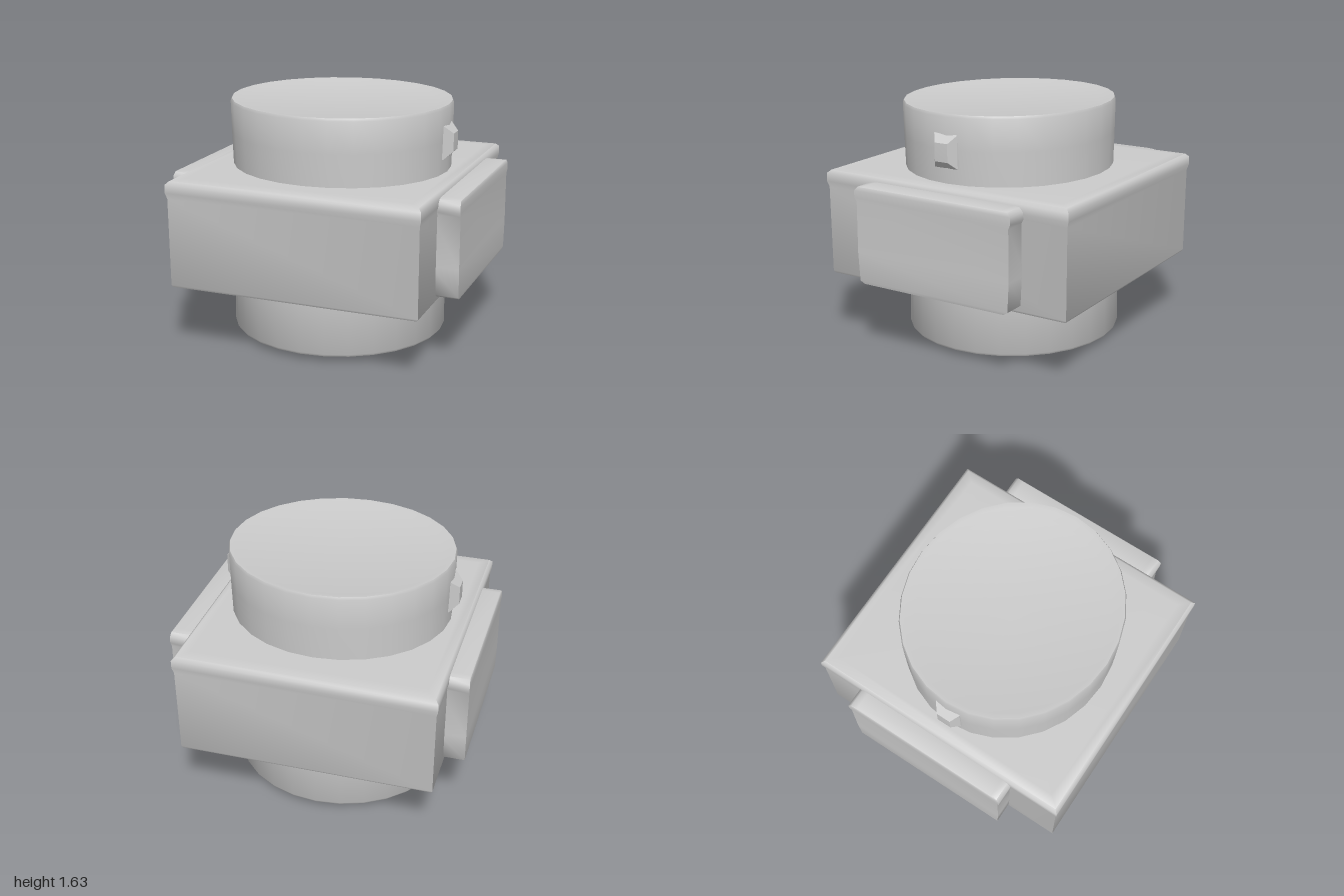
import * as THREE from 'three';
import { toCreasedNormals } from 'three/addons/utils/BufferGeometryUtils.js';

const material = new THREE.MeshStandardMaterial({ color: 0xcccccc });

// Turn a profile of [radius, height] pairs into a solid with the given number of sides
function turned(name, profile, sides, [sx, sz], [x, z], crease = 1) {
  const k = sides === 4 ? Math.SQRT2 : 1; // square sections: radius means half width
  const points = profile.map(([r, y]) => new THREE.Vector2(r * k, y));
  const geometry = new THREE.LatheGeometry(points, sides, sides === 4 ? Math.PI / 4 : 0);
  geometry.scale(sx, 1, sz);
  geometry.translate(x, 0, z);
  const mesh = new THREE.Mesh(toCreasedNormals(geometry, crease), material);
  mesh.name = name;
  return mesh;
}

export function createModel() {
  const group = new THREE.Group();
  group.name = 'squareHousingWithDrum';

  // Square housing with a faint lip round its softened top edge
  group.add(turned('housing', [
    [0, 0.46], [0.975, 0.46], [0.985, 0.475], [0.988, 1.06],
    [1, 1.1], [1, 1.155], [0.975, 1.176], [0.9, 1.18], [0, 1.177],
  ], 4, [0.858, 0.918], [-0.005, -0.003]));

  // Lower drum with a crisp rim and a shallow domed underside
  group.add(turned('lowerDrum', [
    [0, 0.004], [0.45, 0.012], [0.85, 0.032], [0.985, 0.043], [1, 0.06], [0.992, 0.5],
  ], 28, [0.735, 0.722], [-0.022, 0], 0.7));

  // Upper drum with a slightly dished top, leaning a touch forward
  const upperDrum = turned('upperDrum', [
    [0.985, 1.14], [0.995, 1.4], [1, 1.61], [0.99, 1.628], [0.95, 1.626], [0.87, 1.614], [0, 1.61],
  ], 28, [0.752, 0.696], [0, 0.006], 0.7);
  upperDrum.rotation.x = 0.008;
  group.add(upperDrum);

  for (const side of [1, -1]) {
    const label = side > 0 ? 'left' : 'right';

    // Raised side plate with a lipped top
    group.add(turned(label + 'SidePlate', [
      [0, 0.492], [0.92, 0.492], [0.975, 0.512], [0.992, 0.7], [0.988, 1.04],
      [1.015, 1.07], [1.015, 1.115], [0.975, 1.142], [0.9, 1.147], [0, 1.147],
    ], 4, [0.095, 0.58], [side * 0.898, -0.02]));

    // Small tapered stud on the upper drum
    const stud = turned(label + 'Stud', [
      [1.2, 0], [1.1, 0.045], [0.6, 0.1], [0, 0.103],
    ], 4, [0.1, 0.08], [0, 0], 0.4);
    stud.rotation.z = -side * Math.PI / 2;
    stud.position.set(side * 0.697, 1.39, 0.025);
    group.add(stud);
  }
  return group;
}
